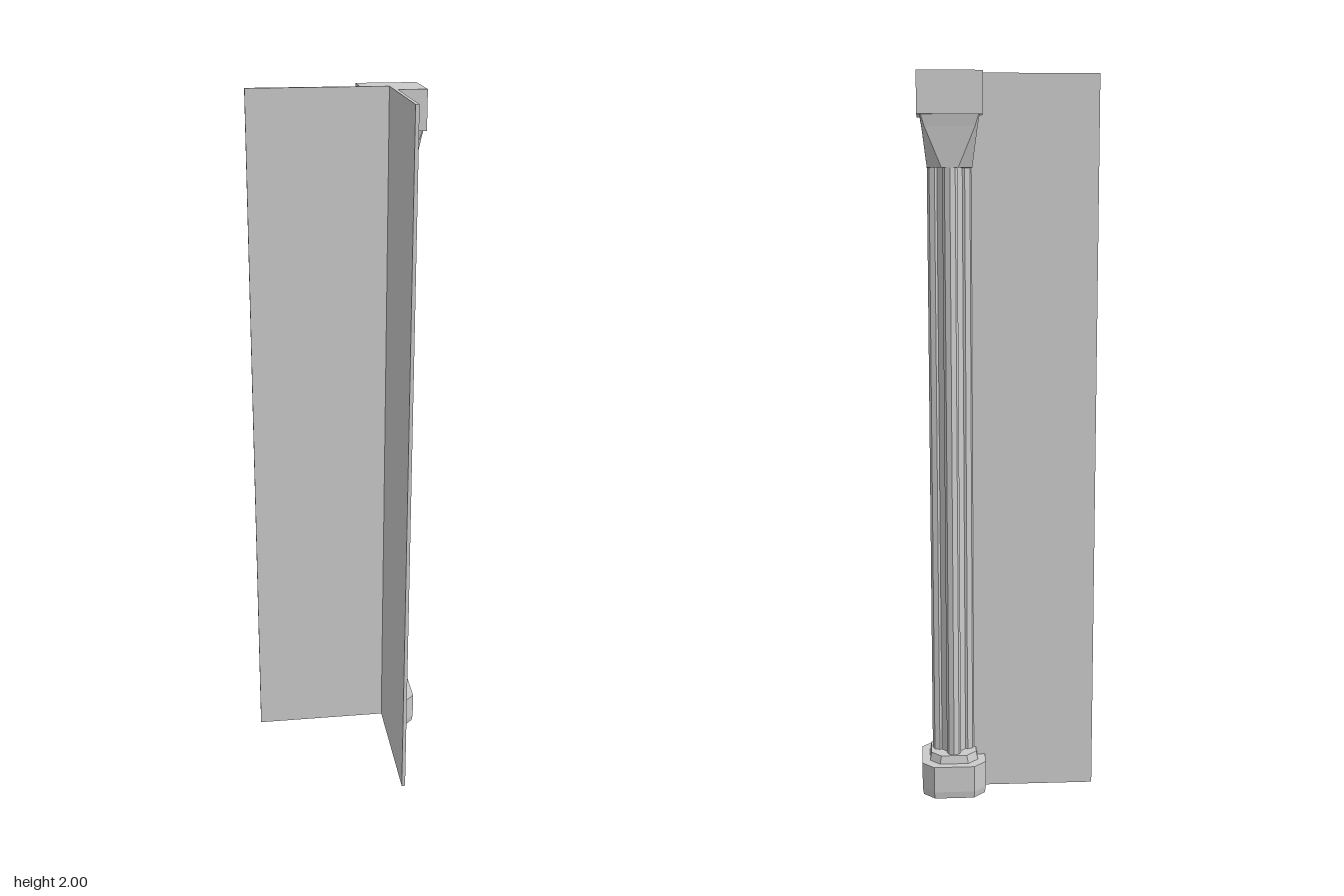
import * as THREE from 'three';

const material = new THREE.MeshStandardMaterial({ color: 0xcccccc, flatShading: true });

// Three quarters of a chamfered square (half width h, half flat f);
// the quadrant on the inner side of the wall corner is left out.
function ring(h, f) {
  return [[0, h], [f, h], [h, f], [h, -f], [f, -h], [-f, -h], [-h, -f], [-h, 0], [0, 0]];
}

// Closed solid through levels of [y, halfWidth, halfFlat].
function loft(levels) {
  const rings = levels.map(([y, h, f]) => ring(h, f).map(([x, z]) => [x, y, z]));
  const n = rings[0].length;
  const pos = [];
  const tri = (...pts) => pts.forEach((p) => pos.push(...p));
  for (let k = 0; k < rings.length - 1; k++) {
    const lo = rings[k], hi = rings[k + 1];
    for (let i = 0; i < n; i++) {
      const j = (i + 1) % n;
      tri(lo[i], lo[j], hi[j]);
      tri(lo[i], hi[j], hi[i]);
    }
  }
  const bottom = rings[0], top = rings[rings.length - 1];
  for (let i = 0; i < n - 2; i++) {
    tri(top[n - 1], top[i], top[i + 1]);
    tri(bottom[n - 1], bottom[i + 1], bottom[i]);
  }
  const geometry = new THREE.BufferGeometry();
  geometry.setAttribute('position', new THREE.Float32BufferAttribute(pos, 3));
  geometry.computeVertexNormals();
  return geometry;
}

function add(parent, name, geometry, x = 0, y = 0, z = 0) {
  const mesh = new THREE.Mesh(geometry, material);
  mesh.name = name;
  mesh.position.set(x, y, z);
  parent.add(mesh);
  return mesh;
}

export function createModel() {
  const model = new THREE.Group();
  model.name = 'cornerColumnWithWalls';

  // Two thin walls meeting at a right angle
  add(model, 'backWall', new THREE.BoxGeometry(0.395, 2, 0.01), -0.0475, 1, -0.155);
  add(model, 'sideWall', new THREE.BoxGeometry(0.01, 2, 0.405), 0.155, 1, 0.0425);

  // Column wrapped around the outside of the corner
  const column = new THREE.Group();
  column.name = 'column';
  column.position.set(0.155, 0, -0.155);
  model.add(column);

  add(column, 'plinth', loft([[0, 0.087, 0.055], [0.02, 0.09, 0.057], [0.095, 0.09, 0.057]]));
  add(column, 'baseMoulding', loft([[0.095, 0.068, 0.04], [0.118, 0.064, 0.036]]));
  add(column, 'shaftCore', loft([[0.11, 0.036, 0.015], [1.76, 0.036, 0.015]]));

  // Slender shafts: two whole, two halved by the walls [x, z, start, sweep]
  const bottom = 0.11, top = 1.76, r = 0.02;
  const shafts = [
    [0.04, 0, 0, 2], [0, -0.04, 0, 2],
    [0, 0.04, 0, 1], [-0.04, 0, 0.5, 1],
  ];
  for (const [x, z, start, sweep] of shafts) {
    const geometry = new THREE.CylinderGeometry(
      r, r, top - bottom, sweep * 4, 1, false, start * Math.PI, sweep * Math.PI);
    add(column, 'slenderShaft', geometry, x, (top + bottom) / 2, z);
  }

  // Flaring capital and square block on top
  add(column, 'capital', loft([[1.755, 0.06, 0.022], [1.86, 0.073, 0.066], [1.89, 0.078, 0.075]]));
  add(column, 'capitalBlock', loft([[1.89, 0.086, 0.086], [2, 0.086, 0.086]]));

  return model;
}
